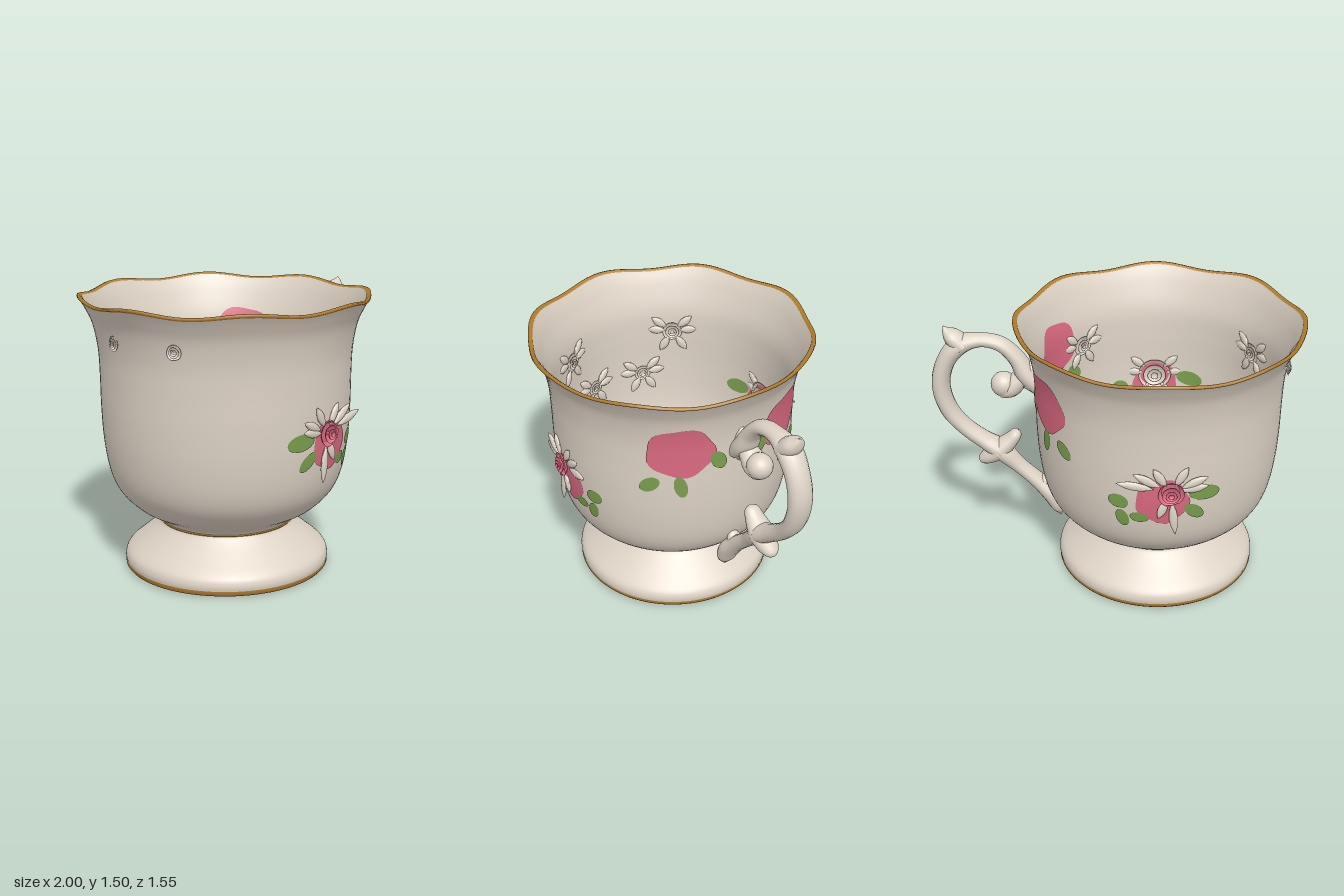
import * as THREE from 'three';
import { mergeGeometries, mergeVertices } from 'three/addons/utils/BufferGeometryUtils.js';

const CX = -0.235; // axis of the bowl
const mat = (name, color) => new THREE.MeshStandardMaterial({ name, color, side: THREE.DoubleSide });
const rad = THREE.MathUtils.degToRad;

// Bowl and foot profiles as [radius, height]
const OUTER = [[0.556, 0.03], [0.558, 0.06], [0.54, 0.1], [0.47, 0.16], [0.40, 0.22], [0.365, 0.265],
  [0.40, 0.3], [0.50, 0.36], [0.585, 0.45], [0.632, 0.56], [0.658, 0.72], [0.668, 0.9], [0.67, 1.08],
  [0.676, 1.22], [0.70, 1.35], [0.735, 1.43], [0.762, 1.478]];
const INNER = [[0.744, 1.482], [0.705, 1.40], [0.655, 1.25], [0.643, 1.1], [0.64, 0.9], [0.628, 0.7],
  [0.6, 0.55], [0.55, 0.46], [0.46, 0.38], [0.34, 0.33], [0.2, 0.325], [0, 0.325]];
const HOLLOW = [[0, 0.29], [0.19, 0.29], [0.24, 0.235], [0.31, 0.2], [0.42, 0.12], [0.5, 0.025], [0.515, 0.004]];

const spline = (pts, n = 70) => new THREE.SplineCurve(pts.map(p => new THREE.Vector2(...p))).getPoints(n)
  .map(p => new THREE.Vector2(Math.max(0, p.x), p.y));
const outerPts = spline(OUTER), innerPts = spline(INNER);

// Wall radius at a height
function radiusAt(y, inside) {
  const pts = inside ? innerPts : outerPts;
  for (let i = 1; i < pts.length; i++) {
    const a = pts[i - 1], b = pts[i];
    if ((a.y - y) * (b.y - y) <= 0 && a.y !== b.y) return a.x + (b.x - a.x) * (y - a.y) / (b.y - a.y);
  }
  return 0.66;
}

// Lathe with a gently scalloped lip
function turned(points) {
  let g = new THREE.LatheGeometry(points, 96);
  const p = g.attributes.position;
  for (let i = 0; i < p.count; i++) {
    const x = p.getX(i), y = p.getY(i), z = p.getZ(i);
    const f = Math.max(0, (y - 1.15) / 0.34) ** 2;
    const w = f * Math.cos(8 * Math.atan2(z, x));
    const k = 1 + 0.011 * w;
    p.setXYZ(i, x * k, y + 0.012 * w, z * k);
  }
  g.deleteAttribute('uv');
  g.deleteAttribute('normal');
  g = mergeVertices(g);
  g.computeVertexNormals();
  return g;
}

// Thin painted patch that follows the wall; a lobed outline makes a blossom
function patch(angle, y, w, h, rot, lobes, inside) {
  const rings = 6, seg = 36, pos = [], idx = [], c = Math.cos(rot), s = Math.sin(rot);
  for (let i = 0; i <= rings; i++) for (let j = 0; j < seg; j++) {
    const t = j / seg * Math.PI * 2;
    const k = i / rings * (lobes ? 1 + 0.05 * Math.cos(lobes * t + 0.6) : 1);
    const a = Math.cos(t) * k * w, b = Math.sin(t) * k * h;
    const u = a * c - b * s, v = y + a * s + b * c;
    const R = radiusAt(v, inside) + (inside ? -0.005 : 0.005), th = angle - u / 0.67;
    pos.push(CX + R * Math.cos(th), v, R * Math.sin(th));
    if (i < rings) {
      const m = i * seg + j, n = i * seg + (j + 1) % seg;
      if (inside) idx.push(m, n, m + seg, n, n + seg, m + seg);
      else idx.push(m, m + seg, n, n, m + seg, n + seg);
    }
  }
  const g = new THREE.BufferGeometry();
  g.setAttribute('position', new THREE.Float32BufferAttribute(pos, 3));
  g.setIndex(idx);
  g.computeVertexNormals();
  return g;
}

// Tapered tube through [x, y, radius] points, wider in z
function sweep(points, wide = 1.3, n = 60, seg = 16) {
  const curve = new THREE.CatmullRomCurve3(points.map(p => new THREE.Vector3(...p)));
  const pos = [], idx = [];
  for (let i = 0; i <= n; i++) {
    const p = curve.getPoint(i / n), t = curve.getTangent(i / n), l = Math.hypot(t.x, t.y) || 1;
    for (let j = 0; j < seg; j++) {
      const a = j / seg * Math.PI * 2, r = Math.max(p.z, 0.001);
      pos.push(p.x - t.y / l * r * Math.cos(a), p.y + t.x / l * r * Math.cos(a), r * wide * Math.sin(a));
      if (i < n) {
        const m = i * seg + j, k = i * seg + (j + 1) % seg;
        idx.push(m, k, m + seg, k, k + seg, m + seg);
      }
    }
  }
  const g = new THREE.BufferGeometry();
  g.setAttribute('position', new THREE.Float32BufferAttribute(pos, 3));
  g.setIndex(idx);
  g.computeVertexNormals();
  return g;
}

// Modelled rose facing +z: nested rings of cupped petals
function roseGeometry(r, depth = 0.5) {
  const parts = [];
  [[0.22, 2], [0.42, 3], [0.68, 5], [1, 6]].forEach(([k, n], layer) => {
    for (let i = 0; i < n; i++) {
      const g = new THREE.SphereGeometry(r * k, 8, 5, 0, Math.PI * 2 / n * 1.2, Math.PI * (0.5 + layer * 0.03), Math.PI * (0.5 - layer * 0.03));
      g.rotateX((i % 2 ? 1 : -1) * 0.1).rotateY(i * Math.PI * 2 / n + layer * 0.7);
      g.translate(0, r * (1 - layer * 0.08), 0).scale(1, depth, 1);
      parts.push(g);
    }
  });
  return mergeGeometries(parts).rotateX(Math.PI / 2);
}

// Modelled pointed leaf from the origin, lying in the xy plane
function leafGeometry(start, len, width, turn, thick = 0.014) {
  const g = new THREE.SphereGeometry(1, 12, 6), p = g.attributes.position;
  for (let i = 0; i < p.count; i++) p.setY(i, p.getY(i) * Math.sqrt(Math.max(0, 1 - p.getX(i) ** 2)));
  g.scale(len / 2, width, thick).translate(start + len / 2, 0, 0).rotateZ(turn);
  g.computeVertexNormals();
  return g;
}

export function createModel() {
  const china = mat('china', 0xded3c6), pink = mat('pink', 0xdc6a82);
  const green = mat('leafGreen', 0x7a9f4e), gold = mat('gold', 0xb17c2c);
  const group = new THREE.Group();
  const add = (name, geo, m, x = 0, y = 0, z = 0) => {
    const mesh = new THREE.Mesh(geo, m);
    mesh.name = name;
    mesh.position.set(x, y, z);
    group.add(mesh);
    return mesh;
  };
  // Put a relief on the wall, facing out or in
  const onWall = (name, geo, m, angle, y, inside, lift = 0) => {
    const R = radiusAt(y, inside) + (inside ? -lift : lift);
    add(name, geo, m, CX + R * Math.cos(angle), y, R * Math.sin(angle))
      .rotation.y = Math.PI / 2 - angle + (inside ? Math.PI : 0);
  };
  const v2 = pts => pts.map(p => new THREE.Vector2(...p));

  // Bowl, foot and gilding
  add('bowlAndFoot', turned(outerPts), china, CX);
  add('bowlInside', turned(innerPts), china, CX);
  add('footHollow', turned(spline(HOLLOW, 40)), china, CX);
  add('goldLip', turned(v2([[0.758, 1.472], [0.767, 1.478], [0.766, 1.488], [0.754, 1.491], [0.742, 1.48]])), gold, CX);
  add('goldFootBand', turned(v2([[0.513, 0.006], [0.53, 0], [0.548, 0.004], [0.557, 0.015], [0.557, 0.032]])), gold, CX);
  add('goldWaistLine', new THREE.TorusGeometry(0.364, 0.006, 6, 72).rotateX(Math.PI / 2), gold, CX, 0.265);
  add('goldFloorRing', new THREE.RingGeometry(0.295, 0.312, 72).rotateX(-Math.PI / 2), gold, CX, 0.334);
  add('goldHollowRing', new THREE.TorusGeometry(0.295, 0.007, 6, 72).rotateX(Math.PI / 2), gold, CX, 0.205);

  // Rose and leaves on the bowl floor
  add('floorRose', roseGeometry(0.19, 0.35).rotateX(-Math.PI / 2), china, CX, 0.325);
  const floorLeaves = [];
  for (let i = 0; i < 12; i++) floorLeaves.push(leafGeometry(0.14, i % 2 ? 0.15 : 0.19, 0.045, i * Math.PI / 6));
  add('floorLeaves', mergeGeometries(floorLeaves).rotateX(-Math.PI / 2), china, CX, 0.335);

  for (const s of [1, -1]) {
    // Painted flowers, showing on both faces of the wall
    for (const inside of [false, true]) {
      const side = inside ? 'Inside' : 'Outside';
      add('handleBlossom' + side, patch(s * rad(28), 1.155, 0.18, 0.153, 0, 5, inside), pink);
      [[42, 0.955, 0.06, 0.04, 0.6], [28, 0.94, 0.035, 0.068, 0.2], [11, 1.085, 0.04, 0.06, 0.5]].forEach(([a, y, w, h, r]) =>
        add('handleBlossomLeaf' + side, patch(s * rad(a), y, w, h, s * r, 0, inside), green));
      add('sideBlossom' + side, patch(s * rad(90.4), 0.78, 0.14, 0.138, 0, 5, inside), pink);
      [[-0.46, 0.82, 0.085, 0.045, 0.1], [-0.41, 0.71, 0.065, 0.035, 0.7], [-0.01, 0.765, 0.055, 0.042, 0.2],
        [-0.12, 0.675, 0.05, 0.032, 0.1], [-0.03, 0.66, 0.035, 0.055, -0.3]].forEach(([x, y, w, h, r]) =>
        add('sideBlossomLeaf' + side, patch(s * (Math.PI / 2 - (x - CX) / 0.67), y, w, h, s * r, 0, inside), green));
    }

    // Raised rose with sprays of leaves
    const a = s * rad(94);
    onWall('raisedRose', roseGeometry(0.07, 0.65), pink, a, 0.84, false, 0.002);
    const spray = [[0.15, 0.2, 0.25], [0.1, 0.17, 0.55], [0.07, 0.13, 1.0], [0.07, 0.13, 2.1], [0.1, 0.15, 2.7],
      [0.08, 0.15, 2.95], [0.1, 0.2, 4.6], [0.08, 0.12, 5.1]]
      .map(([d, l, t]) => leafGeometry(d * 0.6, l, 0.024, s > 0 ? t : Math.PI - t));
    onWall('raisedLeaves', mergeGeometries(spray), china, a, 0.84, false, 0.006);

    // Small rosette opposite the handle
    onWall('smallRosette', roseGeometry(0.04, 0.5), china, s * rad(164), 1.3, false);

    // Flower sprays inside the bowl
    for (const [deg, y, r] of [[148, 1.12, 0.06], [90, 0.84, 0.1], [48, 1.1, 0.06], [165, 0.85, 0.05]]) {
      onWall('insideRose', roseGeometry(r, 0.45), china, s * rad(deg), y, true);
      const leaves = [0.1, 0.7, 2.5, 3.05, 4.2, 5.3].map(t => leafGeometry(r * 0.7, 0.11, 0.025, t));
      onWall('insideLeaves', mergeGeometries(leaves), china, s * rad(deg), y, true, 0.008);
    }
  }

  // Scrolled handle
  add('handle', sweep([[0.42, 1.1, 0.05], [0.48, 1.17, 0.055], [0.53, 1.265, 0.045], [0.61, 1.345, 0.04], [0.72, 1.37, 0.038],
    [0.83, 1.34, 0.052], [0.91, 1.24, 0.05], [0.944, 1.1, 0.05], [0.91, 0.95, 0.048], [0.83, 0.84, 0.045],
    [0.73, 0.755, 0.047], [0.64, 0.69, 0.055], [0.54, 0.585, 0.042], [0.44, 0.485, 0.044], [0.365, 0.4, 0.052],
    [0.325, 0.31, 0.04], [0.314, 0.25, 0.004]], 1.35, 140), china);
  add('handleCurl', sweep([[0.46, 1.17, 0.04], [0.52, 1.13, 0.05], [0.57, 1.085, 0.055], [0.625, 1.07, 0.045]], 1.2, 20), china);
  add('handleCurlEnd', new THREE.SphereGeometry(0.07, 20, 14), china, 0.605, 1.105);
  // Pointed knops along the handle
  const spurs = [
    [[0.81, 1.34, 0.055], [0.87, 1.395, 0.045], [0.895, 1.425, 0.022], [0.907, 1.45, 0.002]],
    [[0.65, 0.69, 0.06], [0.58, 0.755, 0.042], [0.545, 0.8, 0.028], [0.535, 0.815, 0.002]],
    [[0.64, 0.7, 0.06], [0.71, 0.65, 0.045], [0.755, 0.625, 0.022], [0.765, 0.62, 0.002]],
    [[0.42, 0.46, 0.045], [0.385, 0.51, 0.025], [0.36, 0.55, 0.002]],
    [[0.47, 1.15, 0.05], [0.45, 1.21, 0.03], [0.435, 1.26, 0.002]],
    [[0.47, 1.13, 0.05], [0.44, 1.08, 0.03], [0.425, 1.03, 0.002]],
  ];
  spurs.forEach(p => add('handleSpur', sweep(p, 1.3, 14), china));
  return group;
}
